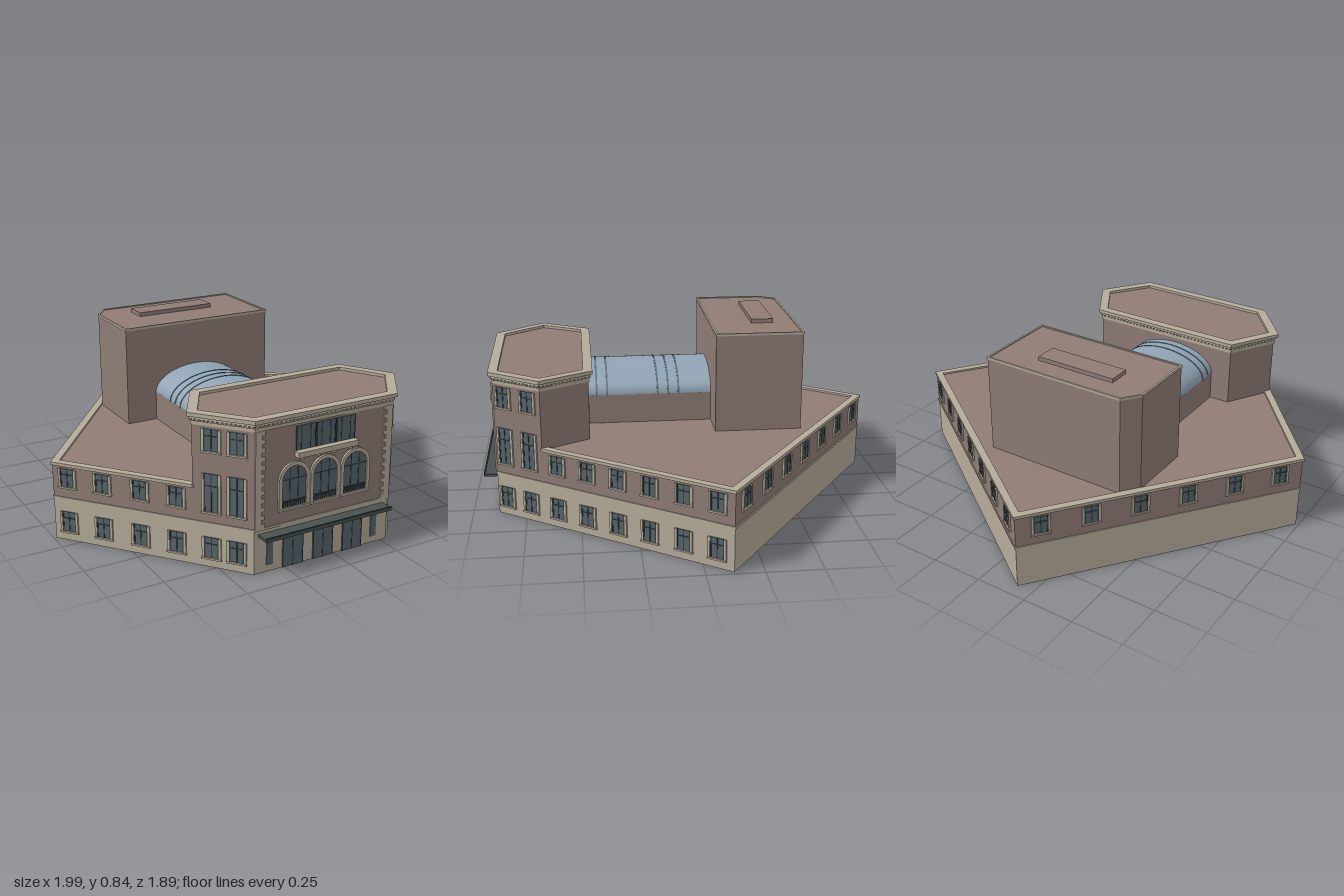
import * as THREE from 'three';

const mat = (name, color, extra = {}) => {
  const m = new THREE.MeshStandardMaterial({ color, ...extra });
  m.name = name;
  return m;
};

export function createModel() {
  const stone = mat('stone', 0xb5ab99);
  const brick = mat('brick', 0x8f7c75);
  const glass = mat('glass', 0x56646a);
  const frame = mat('dark frame', 0x343e3f);
  const canopyMat = mat('canopy slate', 0x48524f);
  const vaultMat = mat('vault metal', 0x90a4b4);
  const ribMat = mat('vault rib', 0x5d6c7a);

  const model = new THREE.Group();
  model.name = 'theatre';

  const add = (parent, name, geo, m) => {
    const mesh = new THREE.Mesh(geo, m);
    mesh.name = name;
    parent.add(mesh);
    return mesh;
  };
  const box = (parent, name, m, w, h, d, x, y, z) => {
    const b = add(parent, name, new THREE.BoxGeometry(w, h, d), m);
    b.position.set(x, y, z);
    return b;
  };

  // Footprints are [x, z] lists; grow() moves every edge outward by d
  const grow = (pts, d) => pts.map((p, i) => {
    const n = pts.length, a = pts[(i + n - 1) % n], c = pts[(i + 1) % n];
    const normal = (s, e) => {
      const l = Math.hypot(e[0] - s[0], e[1] - s[1]);
      return [-(e[1] - s[1]) / l, (e[0] - s[0]) / l];
    };
    const u = normal(a, p), v = normal(p, c), k = d / (1 + u[0] * v[0] + u[1] * v[1]);
    return [p[0] + (u[0] + v[0]) * k, p[1] + (u[1] + v[1]) * k];
  });
  const toPoints = (pts) => pts.map(([x, z]) => new THREE.Vector2(x, -z));
  const prism = (name, m, pts, y0, y1, hole) => {
    const shape = new THREE.Shape(toPoints(pts));
    if (hole) shape.holes.push(new THREE.Path(toPoints(hole)));
    const geo = new THREE.ExtrudeGeometry(shape, { depth: y1 - y0, bevelEnabled: false });
    geo.rotateX(-Math.PI / 2);
    const mesh = add(model, name, geo, m);
    mesh.position.y = y0;
    return mesh;
  };
  const ring = (name, m, pts, out, inn, y0, y1) =>
    prism(name, m, grow(pts, out), y0, y1, grow(pts, -inn));

  // A group whose local x runs along a wall and whose local z points outward
  const wall = (name, a, b) => {
    const g = new THREE.Group();
    g.name = name;
    g.position.set(a[0], 0, a[1]);
    g.rotation.y = Math.atan2(-(b[1] - a[1]), b[0] - a[0]);
    g.userData.length = Math.hypot(b[0] - a[0], b[1] - a[1]);
    model.add(g);
    return g;
  };

  // Two-light window with stone jambs and sill
  const windowAt = (g, x, y0, y1, w = 0.066) => {
    const win = new THREE.Group();
    win.name = 'window';
    win.position.set(x, (y0 + y1) / 2, 0);
    g.add(win);
    const h = y1 - y0;
    box(win, 'glass', glass, w, h, 0.006, 0, 0, 0.001);
    box(win, 'mullion', frame, 0.005, h, 0.008, 0, 0, 0.002);
    box(win, 'transom', frame, w, 0.005, 0.008, 0, h * 0.18, 0.002);
    for (const s of [-1, 1]) {
      box(win, 'sash', frame, 0.006, h, 0.008, s * (w / 2 - 0.003), 0, 0.002);
      box(win, 'jamb', stone, 0.01, h, 0.012, s * (w / 2 + 0.005), 0, 0.002);
    }
    box(win, 'sill', stone, w + 0.024, 0.008, 0.018, 0, -h / 2 - 0.004, 0.002);
  };

  // Main five-sided building
  const FL = [-0.40, 0.88], FR = [0.28, 0.88], R = [0.985, -0.12], B = [-0.17, -0.94], L = [-0.988, 0.15];
  const BR = [0.43, 0.667], BL = [-0.572, 0.667];
  const base = [FL, FR, R, B, L];
  prism('groundFloor', stone, base, 0, 0.2);
  prism('upperFloor', brick, base, 0.2, 0.357);
  ring('stringCourse', stone, base, 0.004, 0.01, 0.196, 0.206);
  ring('roofParapet', stone, [BL, BR, R, B, L], 0.006, 0.028, 0.352, 0.366);

  // Front block with its cornice
  const block = [FL, FR, BR, [0.305, 0.45], [-0.445, 0.45], BL];
  prism('frontBlock', brick, block, 0.2, 0.672);
  ring('frieze', stone, block, 0.004, 0.01, 0.632, 0.648);
  ring('lowerCornice', stone, block, 0.010, 0.01, 0.657, 0.668);
  ring('upperCornice', stone, block, 0.019, 0.024, 0.668, 0.685);
  block.forEach((p, i) => {
    const g = wall('dentils', p, block[(i + 1) % block.length]);
    const n = Math.round(g.userData.length / 0.02);
    for (let k = 0; k < n; k++)
      box(g, 'dentil', stone, 0.01, 0.009, 0.01, (k + 0.5) * g.userData.length / n, 0.6525, 0.004);
  });

  // Windows on the long side walls
  const sideWall = (name, a, b, floors, ts, tall) => {
    const g = wall(name, a, b), len = g.userData.length;
    ts.forEach((t) => {
      windowAt(g, t * len, 0.258, 0.342);
      if (floors > 1) windowAt(g, t * len, 0.045, 0.138);
    });
    tall.forEach((t) => {
      windowAt(g, t * len, 0.045, 0.138);
      windowAt(g, t * len, 0.255, 0.425);
      windowAt(g, t * len, 0.525, 0.62);
    });
  };
  const even = (n) => Array.from({ length: n }, (_, i) => (i + 0.5) / n);
  sideWall('leftFrontWall', FR, R, 2, [0.28, 0.41, 0.54, 0.67, 0.805, 0.935], [0.047, 0.157]);
  sideWall('rightFrontWall', L, FL, 2, [0.078, 0.26, 0.45, 0.63], [0.80, 0.92]);
  sideWall('leftBackWall', R, B, 1, even(7), []);
  sideWall('rightBackWall', B, L, 1, even(6), []);

  // Main facade, local x = 0 at its centre
  const facade = new THREE.Group();
  facade.name = 'facade';
  facade.position.set(-0.06, 0, 0.88);
  model.add(facade);
  for (const s of [-1, 1]) {
    for (let i = 0; i < 23; i++) {
      const w = i % 2 ? 0.03 : 0.045;
      box(facade, 'quoin', stone, w, 0.0185, 0.01, s * (0.34 - w / 2), 0.216 + i * 0.0185, 0.002);
    }
    box(facade, 'sideLight', glass, 0.03, 0.115, 0.006, s * 0.266, 0.088, 0.001);
  }

  // Entrance doors
  for (const x of [-0.152, 0, 0.152]) {
    box(facade, 'door', glass, 0.102, 0.155, 0.006, x, 0.0775, 0.001);
    for (const k of [-1, 0, 1])
      box(facade, 'doorStile', frame, 0.004, 0.155, 0.008, x + k * 0.049, 0.0775, 0.001);
    box(facade, 'doorHead', frame, 0.102, 0.004, 0.008, x, 0.153, 0.001);
  }

  // Entrance canopy
  box(facade, 'canopy', canopyMat, 0.635, 0.012, 0.066, -0.004, 0.175, 0.032);
  box(facade, 'canopyEdge', frame, 0.637, 0.006, 0.006, -0.004, 0.184, 0.062);

  // Three arched windows
  const arch = (Cls, r, y0, spring) => {
    const s = new Cls();
    s.moveTo(-r, y0);
    s.lineTo(r, y0);
    s.lineTo(r, spring);
    s.absarc(0, spring, r, 0, Math.PI, false);
    s.lineTo(-r, y0);
    return s;
  };
  const flat = (shape, depth) =>
    new THREE.ExtrudeGeometry(shape, { depth, bevelEnabled: false, curveSegments: 16 });
  for (const x of [-0.153, 0, 0.153]) {
    const g = new THREE.Group();
    g.name = 'archedWindow';
    g.position.x = x;
    facade.add(g);
    const surround = arch(THREE.Shape, 0.075, 0.272, 0.397);
    surround.holes.push(arch(THREE.Path, 0.059, 0.276, 0.397));
    add(g, 'archSurround', flat(surround, 0.01), stone);
    add(g, 'archGlass', flat(arch(THREE.Shape, 0.059, 0.276, 0.397), 0.004), glass);
    for (const k of [-1, 1]) box(g, 'archMullion', frame, 0.004, 0.17, 0.007, k * 0.02, 0.361, 0.002);
    box(g, 'archTransom', frame, 0.118, 0.004, 0.007, 0, 0.397, 0.002);
    for (let k = -5; k <= 5; k++) box(g, 'baluster', frame, 0.003, 0.024, 0.004, k * 0.0105, 0.288, 0.006);
    box(g, 'balconyRail', frame, 0.118, 0.004, 0.006, 0, 0.301, 0.006);
    box(g, 'archSill', stone, 0.15, 0.01, 0.016, 0, 0.268, 0.005);
  }

  // Upper triple window above a small balcony
  for (const x of [-0.099, 0, 0.099]) {
    box(facade, 'upperGlass', glass, 0.09, 0.105, 0.006, x, 0.57, 0.001);
    for (const k of [-1, 1]) box(facade, 'upperMullion', frame, 0.004, 0.105, 0.008, x + k * 0.022, 0.57, 0.001);
    for (const k of [-1, 1]) box(facade, 'upperFrame', frame, 0.004, 0.105, 0.009, x + k * 0.045, 0.57, 0.001);
  }
  box(facade, 'balcony', stone, 0.30, 0.024, 0.032, 0, 0.504, 0.014);
  for (const x of [-0.12, -0.04, 0.04, 0.12]) box(facade, 'bracket', stone, 0.012, 0.016, 0.018, x, 0.484, 0.008);

  // Roofed hall between front block and tower
  const half = 0.22, cx = -0.127;
  box(model, 'hallWalls', brick, half * 2, 0.14, 0.59, cx, 0.425, 0.152);
  const vault = (name, m, z0, z1, extra) => {
    const s = new THREE.Shape();
    s.absellipse(0, 0, half + extra, 0.117 + extra, 0, Math.PI, false);
    s.closePath();
    const geo = new THREE.ExtrudeGeometry(s, { depth: z1 - z0, bevelEnabled: false, curveSegments: 24 });
    add(model, name, geo, m).position.set(cx, 0.492, z0);
  };
  vault('barrelVault', vaultMat, -0.15, 0.46, 0);
  for (const z of [0.02, 0.07, 0.12, 0.36, 0.41]) vault('vaultRib', ribMat, z - 0.004, z + 0.004, 0.002);

  // Stage tower with one cut corner
  const tower = [[-0.495, -0.135], [0.265, -0.135], [0.265, -0.54], [-0.435, -0.54], [-0.495, -0.46]];
  prism('stageTower', brick, tower, 0.35, 0.821);
  ring('towerCoping', stone, tower, 0.003, 0.006, 0.815, 0.826);
  box(model, 'towerVent', brick, 0.39, 0.02, 0.105, -0.135, 0.83, -0.383);

  return model;
}
